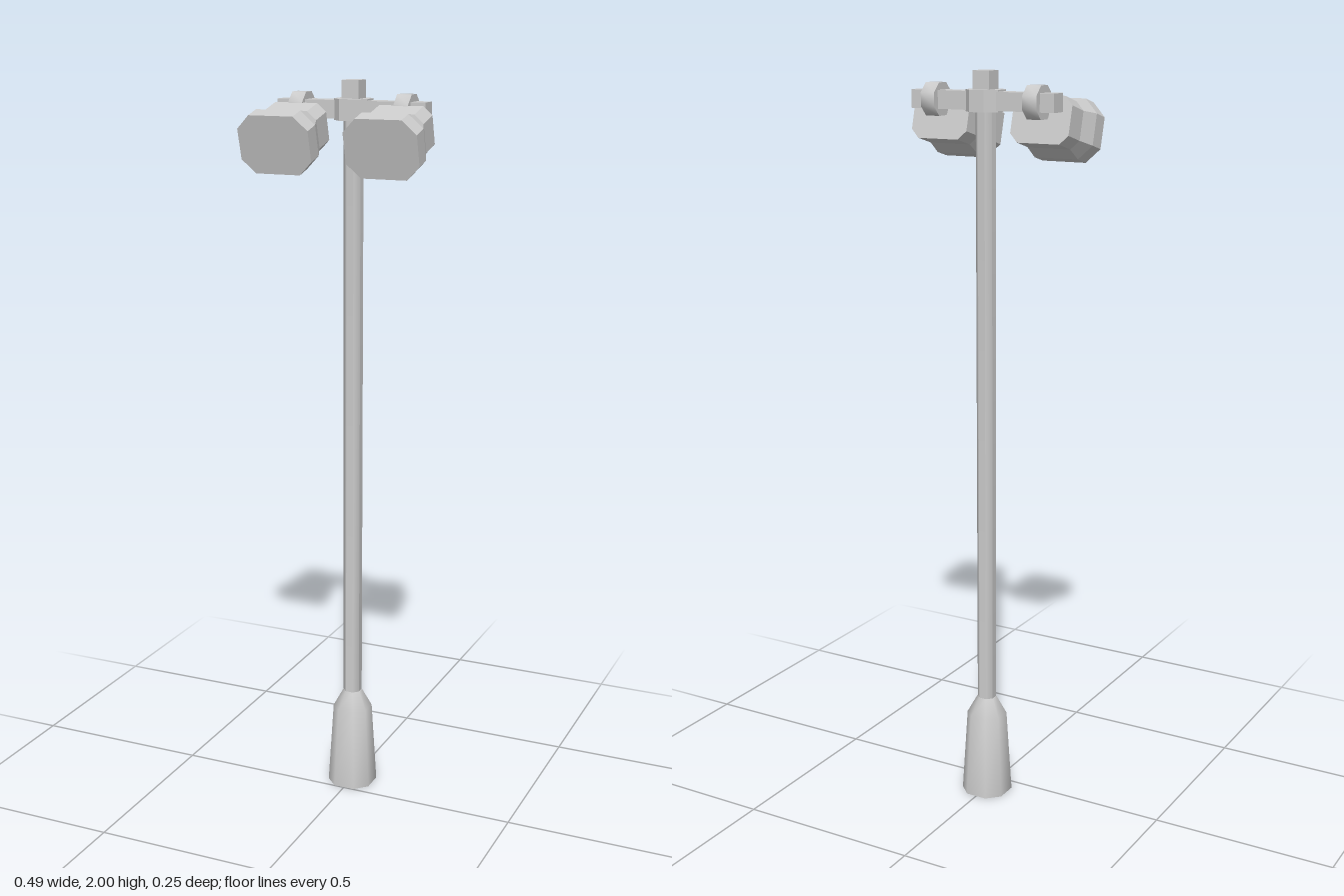
import * as THREE from 'three';
import { toCreasedNormals } from 'three/addons/utils/BufferGeometryUtils.js';

const material = new THREE.MeshStandardMaterial({ color: 0xcccccc });
const POLE_Z = -0.065;
const ARM_Y = 1.925;

// Chamfered-rectangle outline, counter-clockwise
function outline(w, h, c) {
  return [[w, -h + c], [w, h - c], [w - c, h], [-w + c, h],
    [-w, h - c], [-w, -h + c], [-w + c, -h], [w - c, -h]];
}

// Lofts chamfered rectangles along +z; each section is [z, halfWidth, halfHeight, chamfer]
function loft(sections, crease) {
  const rings = sections.map(([z, w, h, c]) => outline(w, h, c).map(([x, y]) => [x, y, z]));
  const pos = [];
  const tri = (a, b, c) => pos.push(...a, ...b, ...c);
  for (let s = 0; s < rings.length - 1; s++) {
    const lo = rings[s], hi = rings[s + 1];
    for (let i = 0; i < 8; i++) {
      const j = (i + 1) % 8;
      tri(lo[i], lo[j], hi[j]);
      tri(lo[i], hi[j], hi[i]);
    }
  }
  const back = rings[0], front = rings[rings.length - 1];
  for (let i = 1; i < 7; i++) {
    tri(back[0], back[i + 1], back[i]);
    tri(front[0], front[i], front[i + 1]);
  }
  const geo = new THREE.BufferGeometry();
  geo.setAttribute('position', new THREE.Float32BufferAttribute(pos, 3));
  geo.computeVertexNormals();
  return crease ? toCreasedNormals(geo, crease) : geo;
}

function addMesh(parent, name, geo, x, y, z) {
  const mesh = new THREE.Mesh(geo, material);
  mesh.name = name;
  mesh.position.set(x, y, z);
  parent.add(mesh);
  return mesh;
}

export function createModel() {
  const model = new THREE.Group();
  model.name = 'streetLamp';
  const upright = (geo) => geo.rotateX(-Math.PI / 2);

  // Tapered base with a shoulder running into the pole
  const base = loft([[0, 0.063, 0.063, 0.033], [0.235, 0.05, 0.05, 0.027],
    [0.285, 0.025, 0.025, 0.0145]], 0.9);
  addMesh(model, 'base', upright(base), 0, 0, POLE_Z);

  // Octagonal pole and its square top
  const pole = loft([[0.27, 0.024, 0.024, 0.014], [1.91, 0.024, 0.024, 0.014]], 0.9);
  addMesh(model, 'pole', upright(pole), 0, 0, POLE_Z);
  addMesh(model, 'poleTop', new THREE.BoxGeometry(0.048, 0.1, 0.048), 0, 1.95, POLE_Z);

  // Hub and crossarm
  const hub = loft([[1.898, 0.047, 0.047, 0.026], [1.953, 0.047, 0.047, 0.026]]);
  addMesh(model, 'hub', upright(hub), 0, 0, POLE_Z);
  addMesh(model, 'crossarm', new THREE.BoxGeometry(0.416, 0.047, 0.048), 0, ARM_Y, POLE_Z);

  for (const side of [-1, 1]) {
    const label = side > 0 ? 'left' : 'right';

    // Octagonal clamp around the arm
    const clamp = loft([[-0.02, 0.042, 0.042, 0.0246], [0.02, 0.042, 0.042, 0.0246]], 0.9);
    addMesh(model, label + 'Clamp', clamp.rotateY(Math.PI / 2), side * 0.148, ARM_Y, POLE_Z);

    // Flared lamp head, tilted down, with its origin at the lens centre
    const head = loft([[-0.155, 0.083, 0.061, 0.023], [-0.091, 0.083, 0.061, 0.023],
      [-0.047, 0.0995, 0.078, 0.037], [0, 0.0995, 0.078, 0.037]]);
    addMesh(model, label + 'LampHead', head, side * 0.1475, 1.841, 0.106).rotation.x = 0.265;
  }
  return model;
}
